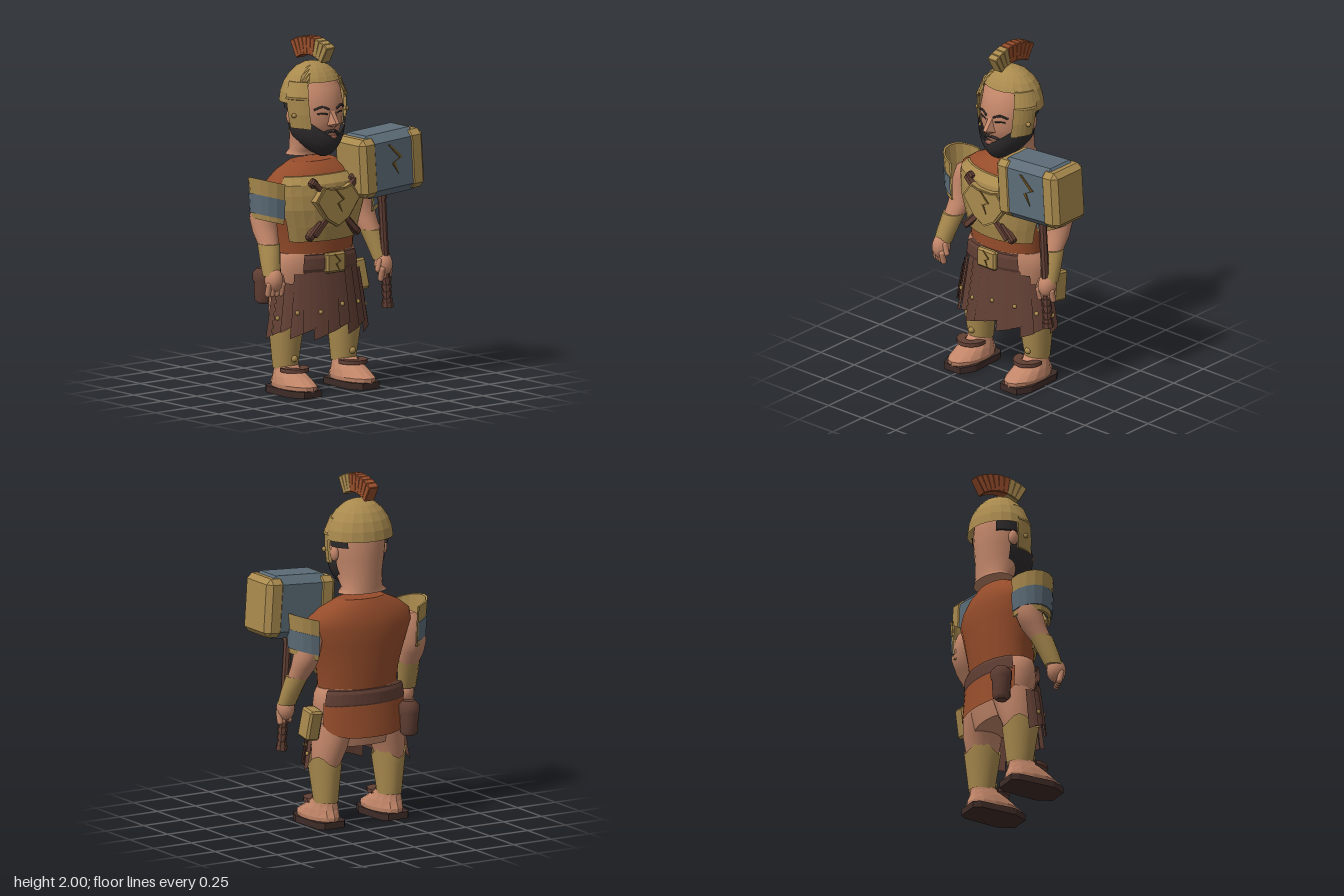
import * as THREE from 'three';
import { ConvexGeometry } from 'three/addons/geometries/ConvexGeometry.js';

const colours = { gold: 0xa98a4e, bronze: 0x6e5426, rust: 0x964d2b, leather: 0x613f34, skin: 0xc28669,
  slate: 0x5c6c77, hair: 0x2f2c2d, sole: 0x3f2c28, lip: 0x985c4b };
const M = {};
for (const [name, color] of Object.entries(colours)) {
  M[name] = new THREE.MeshStandardMaterial({ color, side: THREE.DoubleSide });
  M[name].name = name;
}

function add(parent, name, geo, mat, x = 0, y = 0, z = 0) {
  const m = new THREE.Mesh(geo, mat);
  m.name = name;
  m.position.set(x, y, z);
  parent.add(m);
  return m;
}
function flat(geo) {
  const g = geo.index ? geo.toNonIndexed() : geo;
  g.computeVertexNormals();
  return g;
}
// Surface from a rule fn(u, v) -> [x, y, z]; closed joins u = 1 to u = 0
function grid(fn, nu, nv, closed = false) {
  const pos = [], idx = [], w = closed ? nu : nu + 1;
  for (let j = 0; j <= nv; j++) for (let i = 0; i < w; i++) pos.push(...fn(i / nu, j / nv, j));
  for (let j = 0; j < nv; j++) for (let i = 0; i < nu; i++) {
    const a = j * w + i, b = j * w + (i + 1) % w;
    idx.push(a, b, b + w, a, b + w, a + w);
  }
  const g = new THREE.BufferGeometry();
  g.setAttribute('position', new THREE.Float32BufferAttribute(pos, 3));
  g.setIndex(idx);
  g.computeVertexNormals();
  return g;
}
// Point on an elliptical ring [y, rx, rz, cz, cx]; angle 0 is the front
const onRing = ([y, rx, rz, cz = 0, cx = 0], a) => [cx + rx * Math.sin(a), y, cz + rz * Math.cos(a)];
// Closed solid through rings listed bottom to top
function loft(rings, n = 16) {
  const b = rings[0], t = rings[rings.length - 1];
  const cap = r => [r[0], 0, 0, r[3], r[4]];
  const all = [cap(b), b, ...rings, t, cap(t)];
  return grid((u, v, j) => onRing(all[j], u * Math.PI * 2), n, all.length - 1, true);
}
// Thick curved plate between angles a0 and a1 through rings, t thick
function band(rings, a0, a1, t, n = 12, lift = () => 0) {
  const inner = rings.map(([y, rx, rz, cz, cx]) => [y, rx - t, rz - t, cz, cx]).reverse();
  const all = [...rings, ...inner, rings[0]];
  return flat(grid((u, v, j) => {
    const [x, y, z] = onRing(all[j], a0 + (a1 - a0) * u);
    return [x, y + lift(x), z];
  }, n, all.length - 1));
}
function ringAt(rings, y) {
  let i = 0;
  while (i < rings.length - 2 && y > rings[i + 1][0]) i++;
  const k = (y - rings[i][0]) / (rings[i + 1][0] - rings[i][0]);
  return rings[i].map((c, q) => c + (rings[i + 1][q] - c) * k);
}
function chamferBox(w, h, d, c) {
  const pts = [], s = [-1, 1];
  for (const x of s) for (const y of s) for (const z of s) {
    pts.push(new THREE.Vector3(x * w / 2, y * (h / 2 - c), z * (d / 2 - c)));
    pts.push(new THREE.Vector3(x * (w / 2 - c), y * h / 2, z * (d / 2 - c)));
    pts.push(new THREE.Vector3(x * (w / 2 - c), y * (h / 2 - c), z * d / 2));
  }
  return new ConvexGeometry(pts);
}
function extrude(points, depth) {
  const shape = new THREE.Shape(points.map(p => new THREE.Vector2(...p)));
  return new THREE.ExtrudeGeometry(shape, { depth, bevelEnabled: false });
}
// Thin zigzag ornament, about 0.2 tall at scale 1
const bolt = s => extrude([[-0.04, 0.1], [0.042, 0.01], [-0.016, -0.015], [0.03, -0.085], [0.004, -0.008], [0.062, 0.015], [-0.024, 0.1]]
  .reverse().map(([x, y]) => [x * s, y * s]), 0.009);
const tube = (pts, r, n = 8) => new THREE.TubeGeometry(
  new THREE.CatmullRomCurve3(pts.map(p => new THREE.Vector3(...p))), n, r, 6);

const HEAD = [[1.335, 0.15, 0.095, -0.09], [1.36, 0.122, 0.098, -0.087], [1.45, 0.135, 0.145, -0.045], [1.53, 0.15, 0.157, -0.037],
  [1.62, 0.16, 0.16, -0.038], [1.72, 0.15, 0.142, -0.045], [1.8, 0.1, 0.08, -0.055]];
const TORSO = [[0.77, 0.24, 0.15, -0.035], [0.9, 0.255, 0.158, -0.04], [1.05, 0.305, 0.168, -0.04], [1.14, 0.338, 0.168, -0.045],
  [1.2, 0.325, 0.155, -0.045], [1.255, 0.25, 0.128, -0.055], [1.3, 0.15, 0.085, -0.07]];

function buildHead(body) {
  const g = new THREE.Group(); g.name = 'head'; body.add(g);
  const faceZ = (x, y) => { const r = ringAt(HEAD, y); return r[3] + r[2] * Math.sqrt(1 - (x / r[1]) ** 2); };
  add(g, 'headAndNeck', loft(HEAD, 24), M.skin);
  add(g, 'nose', new ConvexGeometry([[-0.015, 1.61, 0.11], [0.015, 1.61, 0.11], [-0.034, 1.515, 0.11], [0.034, 1.515, 0.11],
    [-0.012, 1.53, 0.168], [0.012, 1.53, 0.168], [0, 1.505, 0.145]].map(p => new THREE.Vector3(...p))), M.skin);
  add(g, 'lips', new THREE.SphereGeometry(1, 10, 6), M.lip, 0, 1.448, 0.125).scale.set(0.032, 0.013, 0.014);
  // Beard: rounded below, top edge rising from the mouth to the ears
  add(g, 'beard', grid((u, v) => {
    const a = (u - 0.5) * 3.6, e = Math.abs(a) / 1.8, t = v * Math.PI / 2, s = Math.sin(t) ** 0.85;
    const y0 = 1.325 + 0.05 * e * e, y1 = 1.44 + 0.1 * Math.min(1, e * 2);
    return [Math.sin(a) * 0.166 * s, y0 + (y1 - y0) * (1 - Math.cos(t)), -0.035 + Math.cos(a) * 0.175 * (0.25 + 0.75 * s)];
  }, 24, 8), M.hair);
  for (const s of [-1, 1]) {
    const p = (x, y, o = 0.003) => [s * x, y, faceZ(x, y) + o];
    const arc = (a0, a1) => s > 0 ? [a0, a1] : [-a1, -a0];
    add(g, 'hairline', band([[1.6, 0.172, 0.158, -0.045], [1.65, 0.18, 0.162, -0.045]], ...arc(1.5, 2.3), 0.02, 5), M.hair);
    add(g, 'moustache', tube([p(0.004, 1.482, 0.008), p(0.035, 1.475), p(0.068, 1.45)], 0.009), M.hair);
    add(g, 'eyebrow', tube([p(0.025, 1.608), p(0.065, 1.624), p(0.105, 1.608)], 0.006), M.hair);
    add(g, 'eye', tube([p(0.032, 1.58, 0), p(0.06, 1.586, 0), p(0.09, 1.583, 0)], 0.0045), M.hair);
    add(g, 'ear', new THREE.SphereGeometry(1, 10, 8), M.skin, s * 0.16, 1.56, -0.055).scale.set(0.022, 0.045, 0.03);
    // Cheek guard, rivet and rim
    add(g, 'cheekGuard', band([[1.5, 0.178, 0.158, -0.035], [1.58, 0.192, 0.166, -0.042], [1.68, 0.2, 0.165, -0.05],
      [1.76, 0.172, 0.142, -0.058]], ...arc(0.74, 1.55), 0.014, 5), M.gold);
    add(g, 'helmetRivet', new THREE.SphereGeometry(0.014, 8, 6), M.gold, s * 0.188, 1.575, 0.01);
    add(g, 'cheekRim', tube([0.8, 1.05, 1.3, 1.55].map(t => onRing([1.67, 0.198, 0.166, -0.05], s * t)), 0.007), M.gold);
  }
  // Helmet dome with a raised brow opening
  add(g, 'helmetDome', flat(grid((u, v) => {
    const a = u * Math.PI * 2, y0 = Math.cos(a) > 0.72 ? 1.755 : 1.64;
    const y = y0 + (1.86 - y0) * Math.sin(v * Math.PI / 2);
    const r = Math.sqrt(Math.max(0, 1 - ((y - 1.635) / 0.225) ** 2));
    return [0.2 * r * Math.sin(a), y, -0.06 + 0.165 * r * Math.cos(a)];
  }, 18, 6, true)), M.gold);
  // Crest: fan of wedge slats floating above the dome
  for (let i = 0; i < 9; i++) {
    const c = new THREE.Group();
    c.name = 'crestSlat'; c.position.set(0, 1.69, -0.055); c.rotation.x = 0.5 - i * 0.125; g.add(c);
    const wedge = chamferBox(0.064, 0.105, 0.036, 0.004), q = wedge.attributes.position;
    for (let k = 0; k < q.count; k++) q.setZ(k, q.getZ(k) * (1 + 2 * q.getY(k)));
    add(c, 'slat', flat(wedge), i < 3 ? M.gold : M.rust, 0, 0.255, 0);
  }
}

function buildTorso(body) {
  add(body, 'shirt', loft(TORSO, 28), M.rust);
  // Breastplate follows the torso, slightly larger
  const plate = [0.865, 0.95, 1.05, 1.13, 1.19, 1.235].map(y => {
    const [, rx, rz, cz] = ringAt(TORSO, y);
    return [y, Math.min(rx + 0.012, 0.325), rz + (y > 0.9 && y < 1.2 ? 0.028 : 0.014), cz];
  });
  add(body, 'breastplate', band(plate, -1.15, 1.15, 0.014, 10), M.gold);
  for (const s of [-1, 1]) {
    const h = add(body, 'crossedHandle', new THREE.BoxGeometry(0.026, 0.43, 0.03), M.leather, 0, 1.055, 0.145);
    h.rotation.z = s * 0.79;
    add(body, 'crossedGrip', chamferBox(0.042, 0.13, 0.045, 0.01), M.leather, s * 0.135, 0.93, 0.125).rotation.z = s * 0.79;
    add(body, 'crossedEnd', chamferBox(0.05, 0.045, 0.04, 0.01), M.leather, s * 0.145, 1.2, 0.125).rotation.z = -s * 0.79;
  }
  const shield = k => [[-0.16, 1.1], [-0.1, 1.18], [-0.05, 1.165], [0.05, 1.165], [0.1, 1.18], [0.16, 1.1], [0.08, 0.99], [0, 0.945], [-0.08, 0.99]]
    .map(([x, y]) => [x * k, 1.07 + (y - 1.07) * k]).reverse();
  add(body, 'shieldRim', extrude(shield(1), 0.045), M.gold, 0, 0, 0.125);
  add(body, 'shieldFace', extrude(shield(0.92), 0.05), M.gold, 0, 0, 0.128);
  add(body, 'shieldBolt', bolt(0.7), M.bronze, 0, 1.09, 0.174);
  // Hips, belt and back cloth
  add(body, 'hips', loft([[0.46, 0.2, 0.11, -0.05], [0.58, 0.268, 0.14, -0.045], [0.7, 0.28, 0.158, -0.04], [0.76, 0.272, 0.156, -0.04],
    [0.795, 0.25, 0.15, -0.035]], 24), M.skin);
  const belt = [[0.69, 0.284, 0.17, -0.035], [0.71, 0.294, 0.178, -0.035], [0.77, 0.284, 0.178, -0.035], [0.79, 0.274, 0.17, -0.035]];
  add(body, 'frontBelt', band(belt, -0.72, 0.72, 0.03), M.leather);
  add(body, 'backBelt', band(belt, Math.PI - 1.1, Math.PI + 1.1, 0.03, 16), M.leather);
  add(body, 'buckle', chamferBox(0.14, 0.115, 0.04, 0.012), M.gold, 0, 0.74, 0.14);
  add(body, 'buckleBolt', bolt(0.48), M.bronze, 0, 0.74, 0.156);
  add(body, 'backCloth', grid((u, v) => {
    const e = Math.abs(u - 0.5) * 2, y0 = 0.52 + 0.07 * e ** 4;
    return onRing([y0 + (0.72 - y0) * v, 0.29 - 0.005 * v, 0.188 - 0.02 * v, -0.04], Math.PI + (u - 0.5) * 2.36);
  }, 18, 4), M.rust);
  // Leather skirt strips with ragged ends and studs, lower at the hips
  for (let i = 0; i < 14; i++) {
    const a0 = -1.68 + i * 0.24, low = 0.312 + 0.05 * ((i * 7) % 5) / 4;
    const top = 0.7 - 0.13 * Math.min(1, Math.max(0, Math.abs(a0 + 0.14) - 0.75) / 0.6);
    const at = (u, v) => {
      const y = top + (low + 0.03 * u - top) * v, k = 1 + 0.04 * u, f = (0.7 - y) / 0.37;
      return onRing([y, (0.275 + 0.062 * f) * k, (0.165 + 0.04 * f) * k, -0.035], a0 + u * 0.28);
    };
    add(body, 'skirtStrip', flat(grid((u, v) => at(u, v), 2, 4)), M.leather);
    if (i % 2) add(body, 'skirtStud', new THREE.SphereGeometry(0.013, 8, 6), M.gold, ...at(0.5, 0.62));
  }
  // Hip pouch and rear flask
  add(body, 'hipPouch', chamferBox(0.085, 0.175, 0.108, 0.012), M.gold, 0.325, 0.605, -0.065).rotation.set(-0.18, 0, 0.08);
  add(body, 'flask', loft([[0.49, 0.03, 0.03], [0.51, 0.05, 0.05], [0.61, 0.054, 0.054], [0.62, 0.06, 0.06], [0.665, 0.06, 0.06], [0.69, 0.035, 0.035]], 14),
    M.leather, -0.25, 0, -0.185);
}

function buildLimbs(body, s) {
  const side = s > 0 ? 'left' : 'right', x = s * 0.21;
  const leg = new THREE.Group(); leg.name = side + 'Leg'; body.add(leg);
  add(leg, 'thigh', loft([[0.1, 0.055, 0.06, -0.043, x], [0.3, 0.07, 0.082, -0.04, x], [0.36, 0.08, 0.092, -0.04, x],
    [0.46, 0.1, 0.112, -0.05, s * 0.19], [0.6, 0.125, 0.13, -0.05, s * 0.15]]), M.skin);
  // Greave with a dipping upper edge
  add(leg, 'greave', grid((u, v) => {
    const a = u * Math.PI * 2, top = 0.385 + 0.03 * Math.cos(a * 3);
    return onRing([0.14 + (top - 0.14) * v, 0.068 + 0.027 * v, 0.076 + 0.033 * v, -0.043 + 0.006 * v, x], a);
  }, 18, 5, true), M.gold);
  add(leg, 'greaveRivet', new THREE.SphereGeometry(0.02, 10, 8), M.gold, x, 0.2, 0.038);
  add(leg, 'foot', flat(loft([[0.03, 0.09, 0.17, 0.036, x], [0.06, 0.094, 0.174, 0.037, x], [0.1, 0.084, 0.13, 0.01, x],
    [0.13, 0.072, 0.097, -0.015, x], [0.17, 0.06, 0.066, -0.043, x]], 14)), M.skin);
  const outline = [[-0.065, 0.137], [0.065, 0.137], [0.09, 0.1], [0.1, -0.12], [0.06, -0.205], [-0.06, -0.205], [-0.1, -0.12], [-0.09, 0.1]];
  add(leg, 'sole', extrude(outline.reverse(), 0.038).rotateX(-Math.PI / 2), M.sole, x);
  add(leg, 'ankleStrap', band([[0.13, 0.084, 0.09, 0.035, x], [0.152, 0.084, 0.09, 0.035, x]], -1.8, 1.8, 0.05), M.leather);

  const arm = new THREE.Group(); arm.name = side + 'Arm'; body.add(arm);
  add(arm, 'upperArm', loft([[0.7, 0.045, 0.045, 0.07, s * 0.395], [0.85, 0.056, 0.06, 0.01, s * 0.368], [0.93, 0.07, 0.074, -0.04, s * 0.357],
    [1.0, 0.074, 0.08, -0.065, s * 0.352], [1.08, 0.076, 0.078, -0.065, s * 0.338], [1.14, 0.065, 0.065, -0.06, s * 0.325],
    [1.165, 0.04, 0.04, -0.06, s * 0.315]]), M.skin);
  add(arm, 'bracer', loft([[0.7, 0.052, 0.052, 0.07, s * 0.397], [0.78, 0.058, 0.06, 0.04, s * 0.385], [0.87, 0.063, 0.068, 0.005, s * 0.367]], 12), M.gold);
  add(arm, 'palm', new THREE.SphereGeometry(1, 14, 10), M.skin, s * 0.395, 0.675, 0.085).scale.set(0.052, 0.07, 0.056);
  for (let i = 0; i < 4; i++) {
    const f = add(arm, 'finger', new THREE.CapsuleGeometry(0.017, 0.055, 4, 8), M.skin, s * (0.36 + i * 0.025), 0.625, 0.112 - 0.008 * i);
    f.rotation.x = 0.25;
  }
  add(arm, 'thumb', new THREE.CapsuleGeometry(0.016, 0.05, 4, 8), M.skin, s * 0.35, 0.675, 0.1).rotation.z = s * -0.3;
  // Shoulder guard with a coloured band, raised on the outside
  const a = s > 0 ? [0.15, 2.95] : [-2.95, -0.15], cx = s * 0.3, lift = px => 0.28 * (Math.abs(px) - 0.39);
  add(arm, 'shoulderGuard', band([[1.0, 0.128, 0.12, -0.035, cx], [1.13, 0.138, 0.127, -0.035, cx], [1.23, 0.148, 0.134, -0.035, cx]],
    ...a, 0.012, 8, lift), M.gold);
  add(arm, 'shoulderBand', band([[1.03, 0.136, 0.128, -0.035, cx], [1.14, 0.144, 0.134, -0.035, cx]], ...a, 0.009, 8, lift), M.slate);
}

function buildHammer(root) {
  const g = new THREE.Group(); g.name = 'hammer'; root.add(g);
  g.position.set(0.287, 1.268, 0.1); g.rotation.z = 0.065;
  add(g, 'hammerCore', chamferBox(0.4, 0.36, 0.25, 0.045), M.slate);
  for (const s of [-1, 1]) add(g, 'hammerCap', chamferBox(0.12, 0.335, 0.262, 0.03), M.gold, s * 0.167, 0, 0);
  add(g, 'hammerBolt', bolt(0.95), M.bronze, 0, 0.02, 0.122);
  const rod = (name, r, y, h) => add(g, name, flat(new THREE.CylinderGeometry(r, r, h, 8)), M.leather, 0, y, 0);
  rod('handle', 0.023, -0.48, 0.7);
  rod('collar', 0.03, -0.19, 0.05);
  for (let i = 0; i < 4; i++) rod('gripRing', 0.029, -0.68 - i * 0.04, 0.025);
  rod('pommel', 0.033, -0.825, 0.03);
}

export function createModel() {
  const root = new THREE.Group();
  root.name = 'warrior';
  const body = new THREE.Group();
  body.name = 'body';
  body.position.x = -0.072;
  root.add(body);
  buildHead(body);
  buildTorso(body);
  for (const s of [-1, 1]) buildLimbs(body, s);
  buildHammer(root);
  return root;
}
